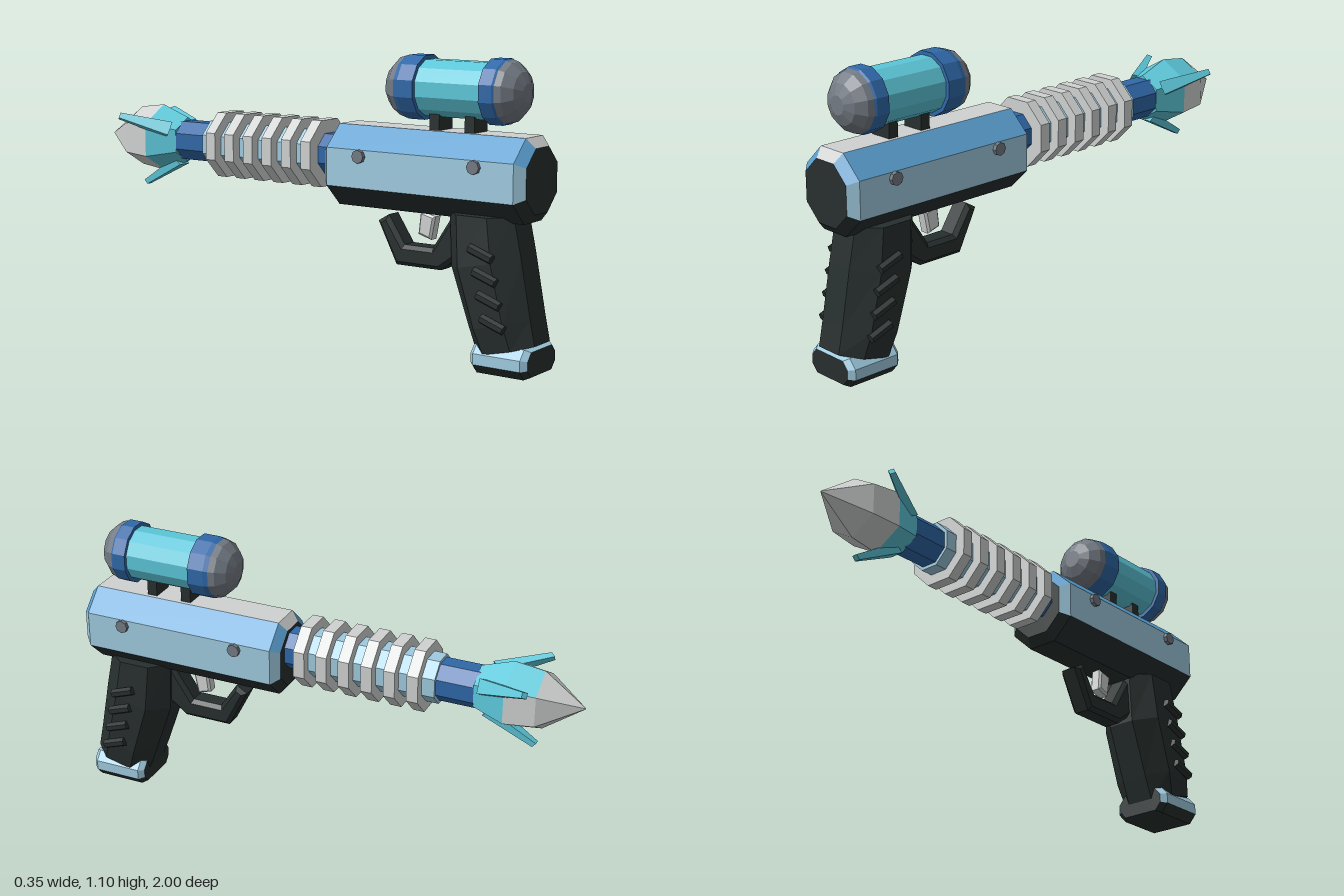
import * as THREE from 'three';

const material = (name, color) => {
  const m = new THREE.MeshStandardMaterial({ color });
  m.name = name;
  return m;
};

export function createModel() {
  const model = new THREE.Group();
  const dark = material('charcoal', 0x272f2e);
  const pale = material('paleBlue', 0x9fcbe0);
  const mid = material('midBlue', 0x5a9fcf);
  const blue = material('deepBlue', 0x2f68a8);
  const teal = material('teal', 0x5cc6d8);
  const grey = material('steelGrey', 0x737a83);
  const light = material('lightGrey', 0xd0d2d2);

  const add = (name, geometry, mats, parent = model) => {
    const mesh = new THREE.Mesh(geometry, mats);
    mesh.name = name;
    parent.add(mesh);
    return mesh;
  };

  // Faceted skin over a row of loops, closed at both ends; pick(row, side) gives each face's colour
  const loft = (name, loops, pick, cap0, cap1, parent) => {
    const n = loops[0].length;
    const tris = new Map();
    const face = (mat, a, b, c) => {
      if (!tris.has(mat)) tris.set(mat, []);
      tris.get(mat).push([a, b, c]);
    };
    for (let i = 0; i + 1 < loops.length; i++) {
      for (let j = 0; j < n; j++) {
        const k = (j + 1) % n, m = pick(i, j);
        face(m, loops[i][j], loops[i][k], loops[i + 1][k]);
        face(m, loops[i][j], loops[i + 1][k], loops[i + 1][j]);
      }
    }
    const last = loops[loops.length - 1];
    for (let j = 1; j + 1 < n; j++) {
      face(cap0, loops[0][0], loops[0][j + 1], loops[0][j]);
      face(cap1, last[0], last[j], last[j + 1]);
    }
    // Turn every face outwards
    let volume = 0;
    for (const list of tris.values())
      for (const [a, b, c] of list) volume += a.dot(b.clone().cross(c));
    const points = [], mats = [], geometry = new THREE.BufferGeometry();
    for (const [mat, list] of tris) {
      geometry.addGroup(points.length, list.length * 3, mats.length);
      mats.push(mat);
      for (const [a, b, c] of list) points.push(...(volume < 0 ? [a, c, b] : [a, b, c]));
    }
    geometry.setFromPoints(points);
    geometry.computeVertexNormals();
    return add(name, geometry, mats, parent);
  };

  const V = (x, y, z) => new THREE.Vector3(x, y, z);
  // Regular polygon around the z direction
  const ring = (z, r, n, cy, start) => Array.from({ length: n }, (_, j) => {
    const a = start + (j / n) * Math.PI * 2;
    return V(r * Math.cos(a), cy + r * Math.sin(a), z);
  });
  const tube = (name, rows, n, cy, start, pick, cap0, cap1) =>
    loft(name, rows.map(([z, r]) => ring(z, r, n, cy, start)), pick, cap0, cap1);

  // Chamfered rectangle, side 0 on top and then anticlockwise seen from +z
  const octagon = (hw, y0, y1, cx, cy, z, s) => {
    const c = (y0 + y1) / 2, b = hw - cx;
    return [[b, y1], [-b, y1], [-hw, y1 - cy], [-hw, y0 + cy], [-b, y0], [b, y0], [hw, y0 + cy], [hw, y1 - cy]]
      .map(([x, y]) => V(x * s, c + (y - c) * s, z));
  };
  const block = (name, size, rows, colours) =>
    loft(name, rows.map(([z, s]) => octagon(...size, z, s)), (i, j) => colours[j], dark, dark);

  // Receiver
  block('receiver', [0.143, 0.54, 0.84, 0.083, 0.08],
    [[0.985, 0.77], [0.953, 1], [0.175, 1], [0.145, 0.77]],
    [light, mid, pale, dark, dark, dark, pale, mid]);

  // Side bolts
  for (const z of [0.8, 0.32]) {
    const bolt = add('sideBolts', new THREE.CylinderGeometry(0.025, 0.025, 0.316, 8).toNonIndexed(), grey);
    bolt.geometry.computeVertexNormals();
    bolt.rotation.z = Math.PI / 2;
    bolt.position.set(0, 0.737, z);
  }

  // Tank with domed ends and collars
  const tankRows = [[0.925, 0.035], [0.908, 0.075], [0.875, 0.107], [0.852, 0.114],
    [0.845, 0.119], [0.793, 0.119], [0.793, 0.104], [0.525, 0.104], [0.525, 0.119],
    [0.46, 0.119], [0.442, 0.114], [0.418, 0.107], [0.385, 0.075], [0.367, 0.035]];
  const tankColours = [grey, grey, grey, blue, blue, blue, teal, blue, blue, blue, grey, grey, grey];
  tube('tank', tankRows, 12, 0.988, Math.PI / 12, (i) => tankColours[i], grey, grey);
  for (const z of [0.72, 0.575])
    add('tankPost', new THREE.BoxGeometry(0.09, 0.1, 0.04), dark).position.set(0, 0.86, z);

  // Barrel, sleeve and cooling rings
  const barrelY = 0.718, flat = Math.PI / 8;
  const solid = (m) => () => m;
  tube('barrel', [[0.16, 0.081], [-0.62, 0.081]], 8, barrelY, flat, solid(blue), blue, blue);
  tube('barrelSleeve', [[0.075, 0.094], [-0.46, 0.094]], 8, barrelY, flat, solid(pale), pale, pale);
  for (let i = 0; i < 6; i++) {
    const z = 0.064 - i * 0.0905;
    tube('coolingRing', [[z + 0.022, 0.135], [z - 0.022, 0.135]], 8, barrelY, flat, solid(light), light, light);
  }

  // Pointed muzzle head
  tube('muzzleHead', [[-0.605, 0.088], [-0.73, 0.132], [-0.845, 0.117], [-1, 0.002]], 6, barrelY, Math.PI / 2,
    (i, j) => (i === 0 || (i === 1 && j === 5) ? teal : light), teal, light);

  // Three swept fins around the head
  for (const turn of [-1, 1, 3]) {
    const section = (t, r1, z1, r2, z2) => [V(t, r1, z1), V(-t, r1, z1), V(-t, r2, z2), V(t, r2, z2)];
    const fin = loft('muzzleFin', [section(0.028, 0.1, -0.625, 0.075, -0.66),
      section(0.011, 0.196, -0.815, 0.18, -0.83)], solid(teal), teal, teal);
    fin.rotation.z = turn * Math.PI / 3;
    fin.position.y = barrelY;
  }

  // Grip: each station is front z, y, rear z, y, half width
  const stations = [[0.91, 0.56, 0.65, 0.56, 0.12], [0.94, 0.42, 0.66, 0.36, 0.132],
    [0.98, 0.21, 0.735, 0.15, 0.13], [1, 0.115, 0.77, 0.06, 0.115]];
  loft('grip', stations.map(([fz, fy, rz, ry, w]) =>
    [[0.055, 0], [-0.055, 0], [-w, 0.28], [-w, 0.75], [-0.055, 1], [0.055, 1], [w, 0.75], [w, 0.28]]
      .map(([x, t]) => V(x, fy + (ry - fy) * t, fz + (rz - fz) * t))), solid(dark), dark, dark);

  // Slanted grip ribs on both sides
  for (const side of [-1, 1]) {
    for (let i = 0; i < 4; i++) {
      const rib = new THREE.CylinderGeometry(0.018, 0.018, 0.095, 6).toNonIndexed();
      rib.computeVertexNormals();
      const mesh = add('gripRib', rib, dark);
      mesh.rotation.x = -Math.PI / 2 + 0.34;
      mesh.position.set(side * 0.135, 0.436 - i * 0.081, 0.825 + i * 0.017);
    }
  }

  // Grip base
  block('gripBase', [0.119, 0, 0.108, 0.03, 0.034],
    [[0.998, 0.83], [0.978, 1], [0.79, 1], [0.77, 0.83]],
    [pale, pale, pale, dark, dark, dark, pale, pale]);

  // Side outline in (z, y), given thickness across x
  const plate = (name, outline, width, bevel, mat) => {
    const geometry = new THREE.ExtrudeGeometry(
      new THREE.Shape(outline.map(([z, y]) => new THREE.Vector2(z, y))),
      { depth: width - 2 * bevel, bevelEnabled: bevel > 0, bevelSize: bevel, bevelOffset: -bevel,
        bevelThickness: bevel, bevelSegments: 1 });
    geometry.translate(0, 0, bevel - width / 2).rotateY(-Math.PI / 2);
    return add(name, geometry, mat);
  };
  plate('triggerGuard', [[0.69, 0.4], [0.6, 0.335], [0.41, 0.335], [0.33, 0.49],
    [0.375, 0.517], [0.445, 0.412], [0.565, 0.412], [0.645, 0.535], [0.69, 0.535]], 0.09, 0.015, dark);
  plate('trigger', [[0.567, 0.525], [0.505, 0.54], [0.495, 0.455], [0.55, 0.438]], 0.05, 0.008, light);

  return model;
}
